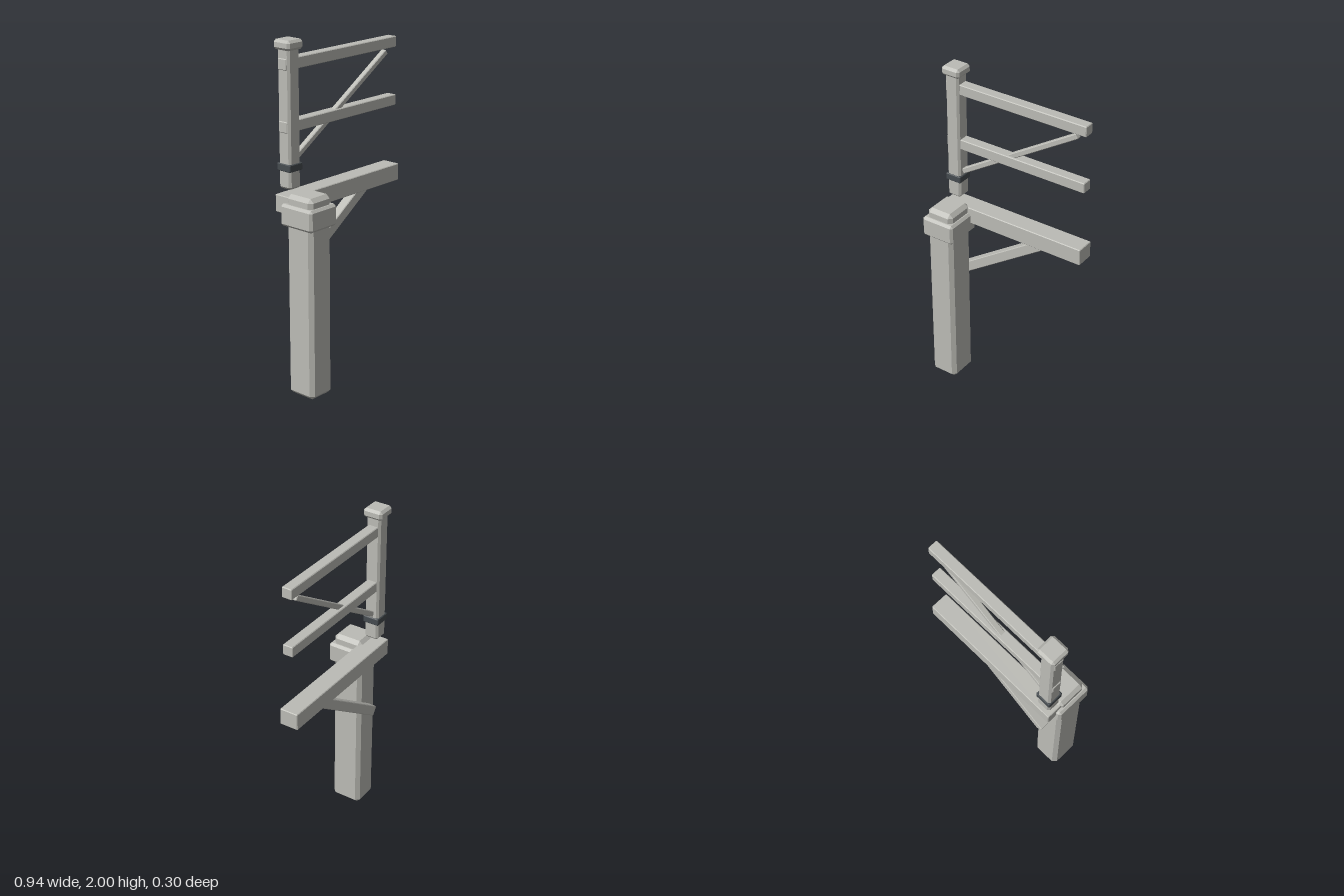
import * as THREE from 'three';
import { ConvexGeometry } from 'three/addons/geometries/ConvexGeometry.js';

const stone = new THREE.MeshStandardMaterial({ color: 0xbcbcb6 });
stone.name = 'paleGrey';
const iron = new THREE.MeshStandardMaterial({ color: 0x464c50 });
iron.name = 'darkGrey';

// Box of size w, h, d with every edge cut by a flat chamfer c.
function chamferBox(w, h, d, c) {
  const points = [];
  for (const sx of [-1, 1]) for (const sy of [-1, 1]) for (const sz of [-1, 1]) {
    for (let axis = 0; axis < 3; axis++) {
      const half = [w / 2 - c, h / 2 - c, d / 2 - c];
      half[axis] += c;
      points.push(new THREE.Vector3(sx * half[0], sy * half[1], sz * half[2]));
    }
  }
  return new ConvexGeometry(points);
}

export function createModel() {
  const model = new THREE.Group();
  model.name = 'postWithRails';

  // Chamfered block between two limits on each axis.
  function block(name, [x0, x1], [y0, y1], [z0, z1], chamfer, material = stone) {
    const mesh = new THREE.Mesh(chamferBox(x1 - x0, y1 - y0, z1 - z0, chamfer), material);
    mesh.position.set((x0 + x1) / 2, (y0 + y1) / 2, (z0 + z1) / 2);
    mesh.name = name;
    model.add(mesh);
  }

  // Diagonal bar between two points in a plane of constant z.
  function brace(name, [x0, y0], [x1, y1], z, height, depth) {
    const length = Math.hypot(x1 - x0, y1 - y0);
    const mesh = new THREE.Mesh(chamferBox(length, height, depth, 0.004), stone);
    mesh.position.set((x0 + x1) / 2, (y0 + y1) / 2, z);
    mesh.rotation.z = Math.atan2(y1 - y0, x1 - x0);
    mesh.name = name;
    model.add(mesh);
  }

  // Heavy lower post with its collar
  block('lowerPost', [-0.455, -0.285], [0, 1.17], [-0.06, 0.127], 0.022);
  block('lowerCollar', [-0.475, -0.265], [0.99, 1.115], [-0.085, 0.147], 0.014);

  // Main beam behind the lower post, and the brace under it
  block('mainBeam', [-0.445, 0.47], [1.05, 1.15], [-0.146, -0.034], 0.004);
  brace('lowerBrace', [-0.363, 0.68], [0.22, 1.076], -0.088, 0.06, 0.06);

  // Slim upper post with cap and dark band
  block('upperPost', [-0.431, -0.344], [1.185, 1.96], [-0.132, -0.045], 0.012);
  block('upperCap', [-0.447, -0.328], [1.945, 2], [-0.148, -0.029], 0.014);
  block('upperBand', [-0.437, -0.338], [1.285, 1.327], [-0.138, -0.039], 0.004, iron);

  // Rails pass right through the upper post
  for (const [name, y] of [['lowerRail', 1.53], ['upperRail', 1.87]]) {
    block(name, [-0.437, 0.467], [y - 0.031, y + 0.031], [-0.12, -0.058], 0.004);
  }
  brace('upperBrace', [-0.345, 1.35], [0.4, 1.818], -0.088, 0.031, 0.034);

  return model;
}
